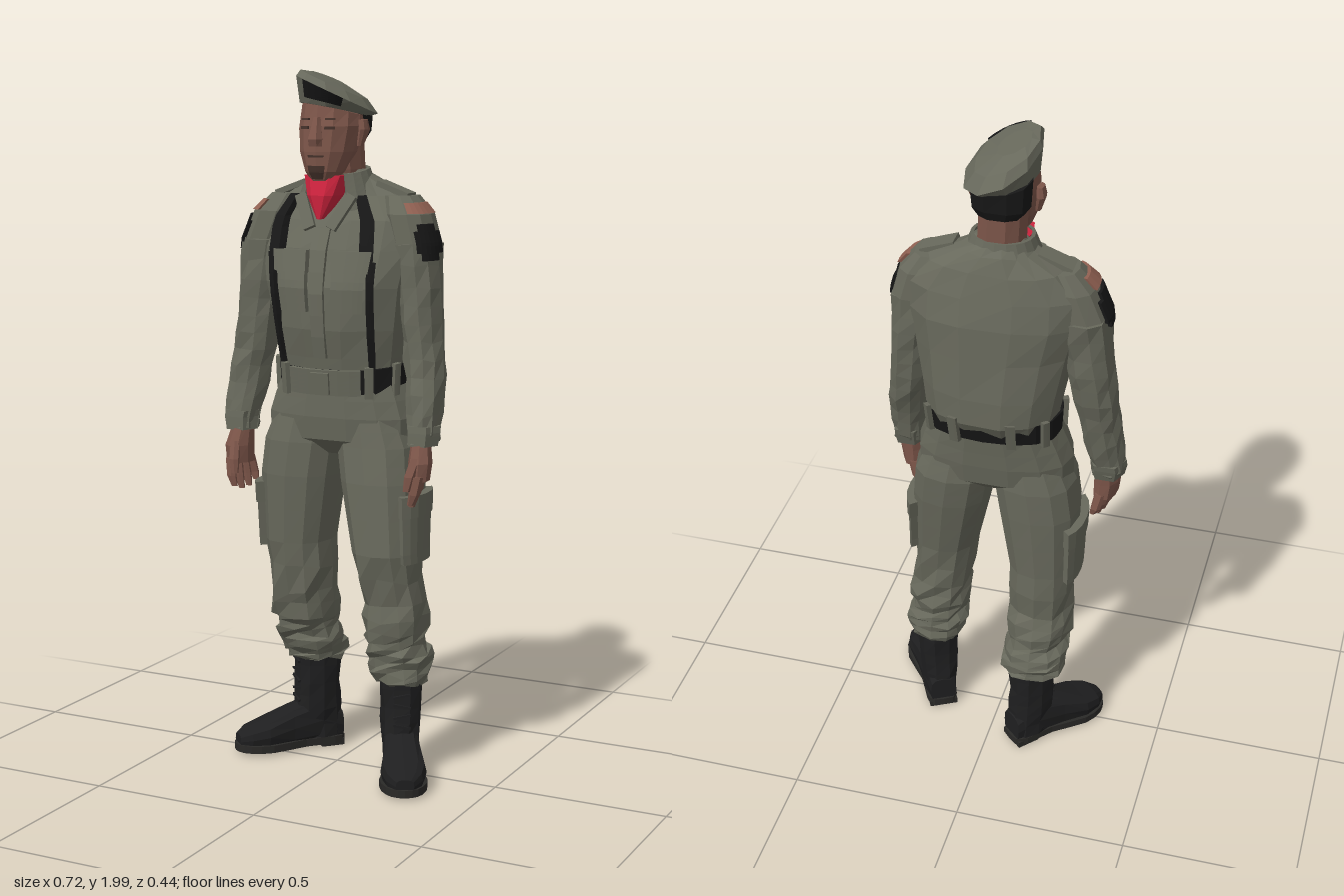
import * as THREE from 'three';

const paint = (name, color) => {
  const m = new THREE.MeshStandardMaterial({ color });
  m.name = name;
  return m;
};

let seed = 7;
const rand = () => (seed = (seed * 16807) % 2147483647) / 2147483647 - 0.5;
const rad = THREE.MathUtils.degToRad;

// Joins rings of points (lowest first, even count per ring) into a closed faceted skin
function skin(rings) {
  const out = [], L = rings[0].length;
  const tri = (...p) => p.forEach(v => out.push(v.x, v.y, v.z));
  for (let i = 0; i < rings.length - 1; i++) {
    for (let j = 0; j < L; j++) {
      const k = (j + 1) % L, lo = rings[i], hi = rings[i + 1];
      tri(lo[j], hi[j], lo[k]);
      tri(lo[k], hi[j], hi[k]);
    }
  }
  const b = rings[0], t = rings[rings.length - 1];
  for (let j = 0; j < L / 2 - 1; j++) {
    const p = j + 1, q = L - 2 - j, r = L - 1 - j;
    tri(b[j], b[p], b[q]); tri(b[j], b[q], b[r]);
    tri(t[j], t[q], t[p]); tri(t[j], t[r], t[q]);
  }
  const g = new THREE.BufferGeometry();
  g.setAttribute('position', new THREE.Float32BufferAttribute(out, 3));
  return g;
}

// A row is [x, y, z, halfWidth, halfDepth, tiltX, tiltZ]
function ringPoint(row, deg, grow = 0, p = 2.4) {
  const [x, y, z, rx, rz, tx = 0, tz = 0] = row, a = rad(deg);
  const s = v => Math.sign(v) * Math.pow(Math.abs(v), 2 / p);
  const dx = (rx + grow) * s(Math.cos(a)), dz = (rz + grow) * s(Math.sin(a));
  return new THREE.Vector3(x + dx, y + tx * dx + tz * dz, z + dz);
}

function rowAt(rows, y) {
  let i = 0;
  while (i < rows.length - 2 && rows[i + 1][1] < y) i++;
  const a = rows[i], b = rows[i + 1], t = (y - a[1]) / (b[1] - a[1]);
  return a.map((v, k) => v + (b[k] - v) * t);
}

// Body of stacked rings; steps adds in-between rings, rough adds cloth creases below a height
function loft(rows, { n = 12, p = 2.4, steps = 1, rough = 0, creaseTop = 3 } = {}) {
  const all = [];
  rows.forEach((r, i) => {
    if (i) for (let s = 1; s < steps; s++) {
      const q = rows[i - 1];
      all.push(q.map((v, k) => v + (r[k] - v) * s / steps));
    }
    all.push(r);
  });
  return skin(all.map(r => Array.from({ length: n }, (_, j) => {
    const amount = r[1] < creaseTop ? rough : 0;
    const v = ringPoint(r, j * 360 / n, rand() * amount, p);
    v.y += rand() * amount;
    return v;
  })));
}

// Plate lying on a loft between two heights and two angles
function slab(rows, y0, y1, a0, a1, grow = 0.006, shift = 0, p = 2.4, m = 7) {
  const k = 6;
  return skin(Array.from({ length: k + 1 }, (_, i) => {
    const t = i / k, row = rowAt(rows, y0 + (y1 - y0) * t);
    const arc = g => Array.from({ length: m }, (_, j) =>
      ringPoint(row, a0 + (a1 - a0) * j / (m - 1) + shift * t, g, p));
    return [...arc(grow), ...arc(-0.004).reverse()];
  }));
}

export function createModel() {
  const olive = paint('olive cloth', 0x68695c), black = paint('black webbing', 0x171717);
  const leather = paint('boot leather', 0x1f1f20), soleMat = paint('sole', 0x2a2927);
  const skinMat = paint('skin', 0x7c5549), shade = paint('dark skin', 0x45322b);
  const red = paint('red scarf', 0xcc233d), badge = paint('shoulder stripe', 0x916152);
  const root = new THREE.Group();
  const add = (name, geo, mat, parent = root) => {
    const flat = geo.index ? geo.toNonIndexed() : geo;
    flat.computeVertexNormals();
    const m = new THREE.Mesh(flat, mat);
    m.name = name;
    parent.add(m);
    return m;
  };
  const box = (name, size, pos, mat, parent, rz = 0, rx = 0) => {
    const m = add(name, new THREE.BoxGeometry(...size), mat, parent);
    m.position.set(...pos);
    m.rotation.set(rx, 0, rz);
    return m;
  };

  // Shirt, broad across the shoulder blades
  const torso = [[0, 1.14, -.055, .18, .13], [0, 1.2, -.065, .19, .152], [0, 1.28, -.058, .203, .16],
    [-.005, 1.4, -.053, .224, .157], [-.01, 1.5, -.065, .248, .14], [-.01, 1.58, -.075, .246, .112],
    [-.01, 1.65, -.086, .185, .085], [-.015, 1.695, -.085, .1, .07], [-.02, 1.72, -.075, .065, .06]];
  add('shirt', loft(torso, { n: 14, rough: .006 }), olive);
  add('buttonPlacket', slab(torso, 1.2, 1.56, 88, 95, .009), olive);
  for (const [a, b] of [[60, 83], [97, 120]]) {
    add('chestPocket', slab(torso, 1.33, 1.46, a, b, .013), olive);
    add('pocketFlap', slab(torso, 1.44, 1.5, a - 1, b + 1, .019), olive);
  }
  // Harness straps: wide pad above, narrow webbing below
  add('leftStrapPad', slab(torso, 1.45, 1.65, 56, 66, .018, 7), black);
  add('leftStrap', slab(torso, 1.16, 1.47, 45, 51, .014, 9), black);
  add('rightStrapPad', slab(torso, 1.47, 1.65, 115, 125, .018, 5), black);
  add('rightStrap', slab(torso, 1.14, 1.49, 131, 137, .014, -8), black);
  const collar = [[-.02, 1.64, -.045, .11, .1, 0, -.25], [-.02, 1.725, -.05, .077, .08, 0, -.13]];
  add('collar', slab(collar, 1.63, 1.718, 126, 414, .006, 0, 2.2, 17), olive);
  // Open lapels and shoulder straps
  for (const s of [-1, 1]) {
    box('lapel', [.034, .11, .012], [-.02 + s * .056, 1.605, .048], olive, root, -s * .45, -.4);
    box('epaulette', [.1, .016, .055], [-.01 + s * .16, 1.666, -.065], olive, root, -s * .35);
  }
  add('scarf', loft([[-.022, 1.585, .062, .008, .012], [-.024, 1.65, .018, .046, .06],
    [-.027, 1.705, -.008, .064, .068]], { n: 10, p: 3 }), red);

  // Belt with loops and front panel
  const belt = [[0, 1.115, -.055, .19, .137, 0, -.13], [0, 1.185, -.06, .193, .15, 0, -.13]];
  add('belt', loft(belt, { n: 16 }), black);
  add('beltFrontPanel', slab(belt, 1.113, 1.187, 60, 120, .006), olive);
  add('buckle', slab(belt, 1.118, 1.18, 86, 97, .015), olive);
  for (const a of [20, 52, 128, 160, 215, 250, 290, 325])
    add('beltLoop', slab(belt, 1.105, 1.195, a - 4, a + 4, .011), olive);

  // Trousers
  add('trouserSeat', loft([[0, .92, -.045, .1, .07], [0, .965, -.045, .225, .118], [0, 1.03, -.047, .225, .128],
    [0, 1.08, -.05, .208, .13], [0, 1.14, -.055, .184, .133]], { n: 14 }), olive);
  const legs = {
    right: [[-.125, .28, -.11, .075, .08], [-.13, .3, -.11, .094, .087], [-.135, .34, -.1, .1, .094],
      [-.135, .38, -.085, .085, .09], [-.14, .42, -.075, .094, .1], [-.14, .5, -.055, .092, .1],
      [-.143, .65, -.05, .097, .11], [-.13, .85, -.045, .117, .122], [-.116, .95, -.045, .118, .122],
      [-.1, 1.04, -.045, .095, .11]],
    left: [[.2, .27, -.01, .07, .075], [.195, .3, -.015, .083, .083], [.192, .34, -.015, .09, .088],
      [.188, .38, -.01, .078, .085], [.185, .42, -.01, .088, .092], [.178, .5, -.01, .087, .092],
      [.16, .65, -.002, .094, .11], [.132, .85, -.03, .114, .123], [.116, .95, -.045, .118, .122],
      [.1, 1.04, -.045, .095, .11]]
  };
  for (const side of ['left', 'right']) {
    const rows = legs[side], mid = side === 'left' ? 0 : 180;
    add(side + 'TrouserLeg', loft(rows, { n: 12, steps: 2, rough: .018, creaseTop: .6 }), olive);
    add(side + 'CargoPocket', slab(rows, .63, .8, mid - 40, mid + 40, .017), olive);
    add(side + 'CargoFlap', slab(rows, .76, .82, mid - 42, mid + 42, .021), olive);
  }

  // Boots
  for (const [side, x, z, turn] of [['left', .2, -.01, .49], ['right', -.125, -.115, -.74]]) {
    const boot = new THREE.Group();
    boot.name = side + 'Boot';
    boot.position.set(x, 0, z);
    boot.rotation.y = turn;
    root.add(boot);
    add('bootShaft', loft([[0, .03, -.005, .05, .065], [0, .12, 0, .056, .07], [0, .2, 0, .06, .066],
      [0, .31, 0, .064, .068]], { n: 10, steps: 2, rough: .006 }), leather, boot);
    const foot = loft([[0, -.07, -.06, .04, .045], [0, 0, -.085, .052, .07], [0, .09, -.07, .055, .055],
      [0, .17, -.054, .065, .038], [0, .22, -.046, .052, .03], [0, .25, -.038, .026, .02]], { n: 12, p: 3 });
    add('bootFoot', foot.rotateX(Math.PI / 2), leather, boot);
    const outline = new THREE.Shape(new THREE.SplineCurve([[-.03, .075], [.03, .075], [.047, .04], [.046, -.05],
      [.068, -.16], [.052, -.225], [.02, -.254], [-.02, -.254], [-.052, -.225], [-.068, -.16], [-.046, -.05],
      [-.047, .04], [-.03, .075]].map(p => new THREE.Vector2(...p))).getPoints(24));
    const sole = new THREE.ExtrudeGeometry(outline, { depth: .022, bevelEnabled: false });
    add('sole', sole.rotateX(-Math.PI / 2), soleMat, boot).position.y = .008;
    box('heel', [.085, .02, .07], [0, .01, -.035], soleMat, boot);
    for (let i = 0; i < 5; i++)
      box('lace', [.05, .007, .008], [0, .15 + i * .03, .066], leather, boot, i % 2 ? .2 : -.2);
  }

  // Sleeves, hands and shoulder patches
  const arms = {
    right: [[-.315, .97, -.01, .043, .048], [-.318, 1.0, -.015, .047, .052], [-.302, 1.1, -.03, .053, .055],
      [-.287, 1.2, -.045, .058, .065], [-.277, 1.3, -.052, .062, .074], [-.26, 1.4, -.055, .067, .08],
      [-.243, 1.52, -.06, .073, .084], [-.212, 1.6, -.06, .07, .08], [-.185, 1.65, -.065, .048, .055]],
    left: [[.273, .97, .01, .04, .046], [.274, 1.0, .005, .043, .05], [.266, 1.1, -.015, .05, .055],
      [.255, 1.2, -.04, .056, .065], [.241, 1.3, -.05, .058, .072], [.23, 1.4, -.055, .062, .078],
      [.216, 1.52, -.06, .066, .082], [.194, 1.6, -.06, .066, .078], [.17, 1.65, -.065, .046, .055]]
  };
  for (const side of ['left', 'right']) {
    const s = side === 'left' ? 1 : -1, rows = arms[side], ang = a => s > 0 ? a : 180 - a;
    const plate = (name, y0, y1, a, b, mat, g) =>
      add(name, slab(rows, y0, y1, Math.min(ang(a), ang(b)), Math.max(ang(a), ang(b)), g), mat);
    add(side + 'Sleeve', loft(rows.slice(0, 7), { n: 10, steps: 2, rough: .011 }), olive);
    add(side + 'Shoulder', loft(rows.slice(6), { n: 10 }), olive);
    plate(side + 'Cuff', .965, 1.02, -179, 179, olive, .006);
    // Rounded sleeve patch: narrower strips above and below the main one
    const turn = s > 0 ? 28 : 14, low = s > 0 ? 1.475 : 1.49;
    plate(side + 'SleevePatch', low + .02, low + .08, turn - 35, turn + 35, black, .007);
    plate(side + 'SleevePatchTop', low + .08, low + .1, turn - 23, turn + 23, black, .007);
    plate(side + 'SleevePatchBottom', low, low + .02, turn - 23, turn + 23, black, .007);
    plate(side + 'ShoulderStripe', 1.603, 1.632, -15, 68, badge, .007);
    const hand = new THREE.Group();
    hand.name = side + 'Hand';
    hand.position.set(s > 0 ? .275 : -.308, 0, s > 0 ? .03 : .012);
    hand.rotation.y = s * .3;
    root.add(hand);
    add('palm', loft([[-s * .003, .87, .005, .03, .046], [0, .92, .006, .034, .045], [0, .985, -.01, .027, .03]],
      { n: 8 }), skinMat, hand);
    for (let i = 0; i < 4; i++) {
      const z = -.033 + i * .025, drop = [.018, .004, 0, .01][i];
      add('finger', loft([[-s * .022, .795 + drop, z * 1.15, .009, .008], [-s * .012, .835, z * 1.2, .015, .012],
        [-s * .003, .885, z + .003, .017, .013]], { n: 6 }), skinMat, hand);
    }
    add('thumb', loft([[-s * .032, .845, .056, .01, .009], [-s * .024, .885, .05, .015, .014],
      [-s * .008, .935, .03, .015, .014]], { n: 6 }), skinMat, hand);
  }

  // Neck and head
  const hx = -.025;
  add('neck', loft([[-.02, 1.64, -.065, .066, .064], [-.02, 1.72, -.058, .066, .074], [hx, 1.82, -.055, .066, .078]],
    { n: 10 }), skinMat);
  const head = [[hx, 1.69, .04, .032, .028], [hx, 1.715, .025, .054, .055], [hx, 1.77, .005, .077, .08],
    [hx, 1.84, -.016, .086, .097], [hx, 1.895, -.03, .08, .097, -.3, .1]];
  add('head', loft(head, { n: 12, p: 2.2 }), skinMat);
  const face = (name, y0, y1, a, b, mat, g = .004) => add(name, slab(head, y0, y1, a, b, g, 0, 2.2), mat);
  face('chinStubble', 1.695, 1.732, 68, 112, shade);
  face('mouth', 1.755, 1.761, 74, 106, shade);
  for (const [a, b] of [[56, 75], [105, 124]]) {
    face('eye', 1.832, 1.84, a, b, shade);
    face('brow', 1.857, 1.862, a, b, shade, .006);
  }
  add('nose', loft([[hx, 1.785, .085, .02, .016], [hx, 1.805, .086, .022, .022], [hx, 1.865, .073, .01, .012]],
    { n: 6 }), skinMat);
  for (const s of [-1, 1])
    add('ear', loft([[hx + s * .083, 1.785, -.025, .008, .012], [hx + s * .093, 1.83, -.03, .013, .024],
      [hx + s * .09, 1.858, -.03, .01, .018]], { n: 8 }), skinMat);
  add('hair', loft([[hx, 1.8, -.09, .062, .052], [hx, 1.825, -.088, .08, .064],
    [hx, 1.885, -.085, .084, .07, -.2, .1]], { n: 10 }), black);

  // Slanted beret
  const beret = [[hx, 1.885, -.032, .089, .118, -.15, .12], [-.018, 1.925, -.035, .103, .143, -.42, .2],
    [-.028, 1.954, -.035, .085, .115, -.42, .16], [-.045, 1.972, -.03, .045, .06, -.4, .1]];
  add('beret', loft(beret, { n: 10, p: 2.1 }), olive);
  add('beretFlash', slab(beret, 1.895, 1.925, 48, 108, .006, 0, 2.1), black);
  return root;
}
